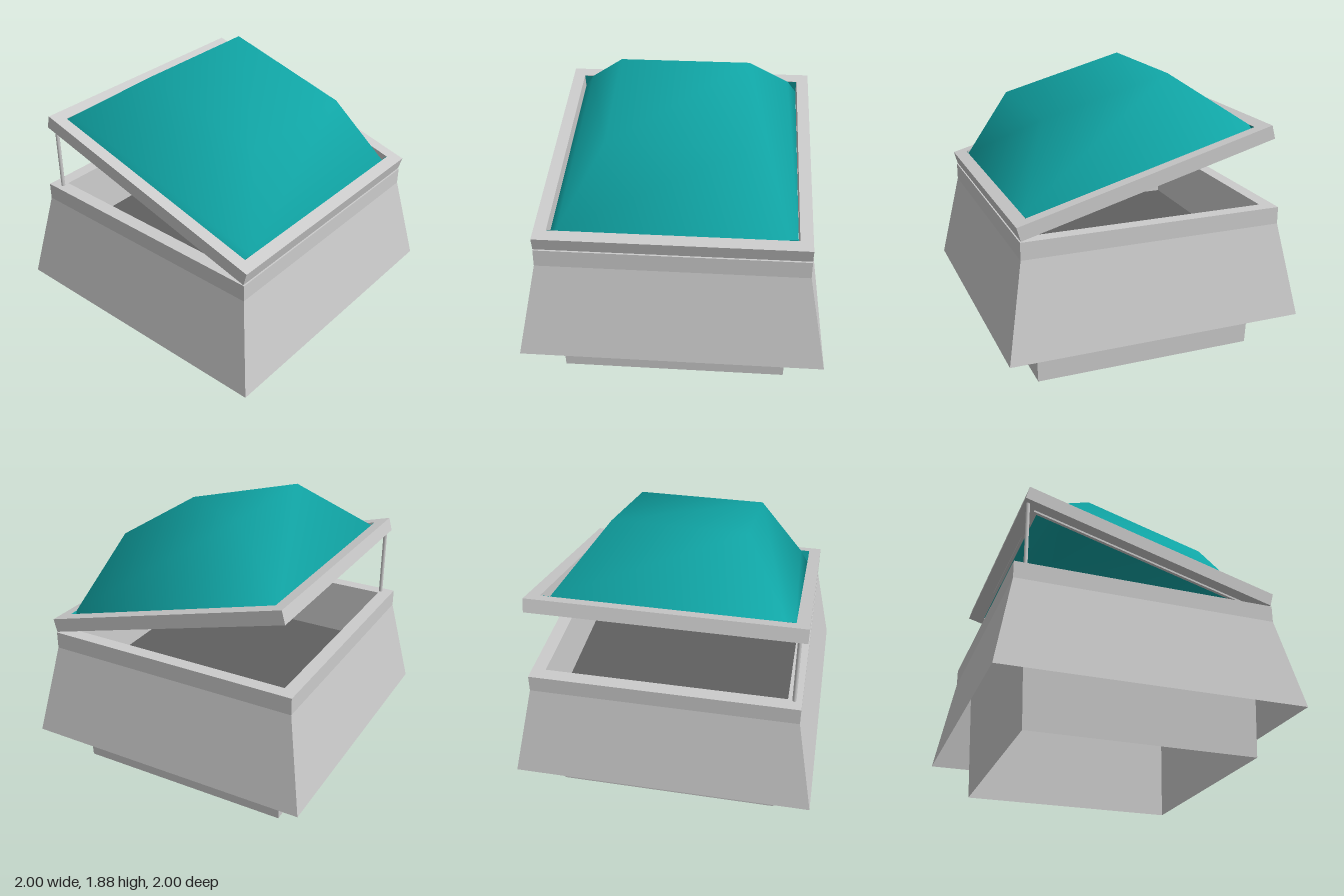
import * as THREE from 'three';

const grey = new THREE.MeshStandardMaterial({ color: 0xcccccc, side: THREE.DoubleSide });
const dark = new THREE.MeshStandardMaterial({ color: 0x606060, side: THREE.DoubleSide });
const teal = new THREE.MeshStandardMaterial({ color: 0x10a5a5, side: THREE.DoubleSide });

function add(parent, name, geometry, material) {
  const mesh = new THREE.Mesh(geometry, material);
  mesh.name = name;
  parent.add(mesh);
  return mesh;
}

// Sweeps a profile of [half width, height] points around a square, with flat faces
function squareSweep(profile) {
  const points = profile.map(([half, y]) => new THREE.Vector2(half * Math.SQRT2, y));
  const geometry = new THREE.LatheGeometry(points, 4, Math.PI / 4).toNonIndexed();
  geometry.computeVertexNormals();
  return geometry;
}

// Smooth dome from four-cornered rings of [half x, height, half z], capped on top
function domeGeometry(rings) {
  const corners = [[-1, -1], [-1, 1], [1, 1], [1, -1]];
  const positions = [];
  const index = [];
  for (const [hx, y, hz] of rings) {
    for (const [sx, sz] of corners) positions.push(sx * hx, y, sz * hz);
  }
  for (let r = 0; r < rings.length - 1; r++) {
    for (let i = 0; i < 4; i++) {
      const a = r * 4 + i;
      const b = r * 4 + (i + 1) % 4;
      index.push(a, b, b + 4, a, b + 4, a + 4);
    }
  }
  const t = (rings.length - 1) * 4;
  index.push(t, t + 1, t + 2, t, t + 2, t + 3);
  const geometry = new THREE.BufferGeometry();
  geometry.setAttribute('position', new THREE.Float32BufferAttribute(positions, 3));
  geometry.setIndex(index);
  geometry.computeVertexNormals();
  return geometry;
}

export function createModel() {
  const model = new THREE.Group();
  model.name = 'roofHatch';

  // Hollow curb running from the ground up to the rim
  add(model, 'curb', squareSweep([[0.755, 0], [0.79, 1.025]]), grey);

  // Flared skirt, open underneath, with the upright rim above it
  add(model, 'skirt', squareSweep([[1, 0.28], [0.88, 0.91]]), grey);
  add(model, 'rim', squareSweep([[0.88, 0.91], [0.88, 1.025], [0.79, 1.025]]), grey);

  // Dark panel closing the shaft
  const panel = add(model, 'shaftPanel', new THREE.PlaneGeometry(1.554, 1.554), dark);
  panel.rotation.x = -Math.PI / 2;
  panel.position.y = 0.645;

  // Single prop rod holding the lid open
  const rod = add(model, 'propRod', new THREE.CylinderGeometry(0.013, 0.013, 0.47, 12), grey);
  rod.position.set(-0.795, 1.255, 0.83);

  // Tilted lid: its local y = 0 is the top of the frame
  const lid = new THREE.Group();
  lid.name = 'lid';
  lid.position.set(0.05, 1.352, 0);
  lid.rotation.z = -0.267;
  model.add(lid);

  add(lid, 'lidFrame', squareSweep([
    [0.797, -0.092], [0.88, -0.092], [0.88, 0], [0.797, 0], [0.797, -0.092],
  ]), grey);
  add(lid, 'lidLip', squareSweep([
    [0.775, -0.092], [0.775, -0.105], [0.797, -0.105], [0.797, -0.092],
  ]), grey);
  add(lid, 'dome', domeGeometry([
    [0.795, -0.092, 0.795], [0.795, 0, 0.732], [0.44, 0.426, 0.44],
  ]), teal);

  // Dome edges seated against the frame at the high and low ends
  for (const side of [-1, 1]) {
    const edge = add(lid, 'domeEdge', new THREE.PlaneGeometry(1.59, 0.092), teal);
    edge.rotation.y = side * Math.PI / 2;
    edge.position.set(side * 0.794, -0.046, 0);
  }
  return model;
}
